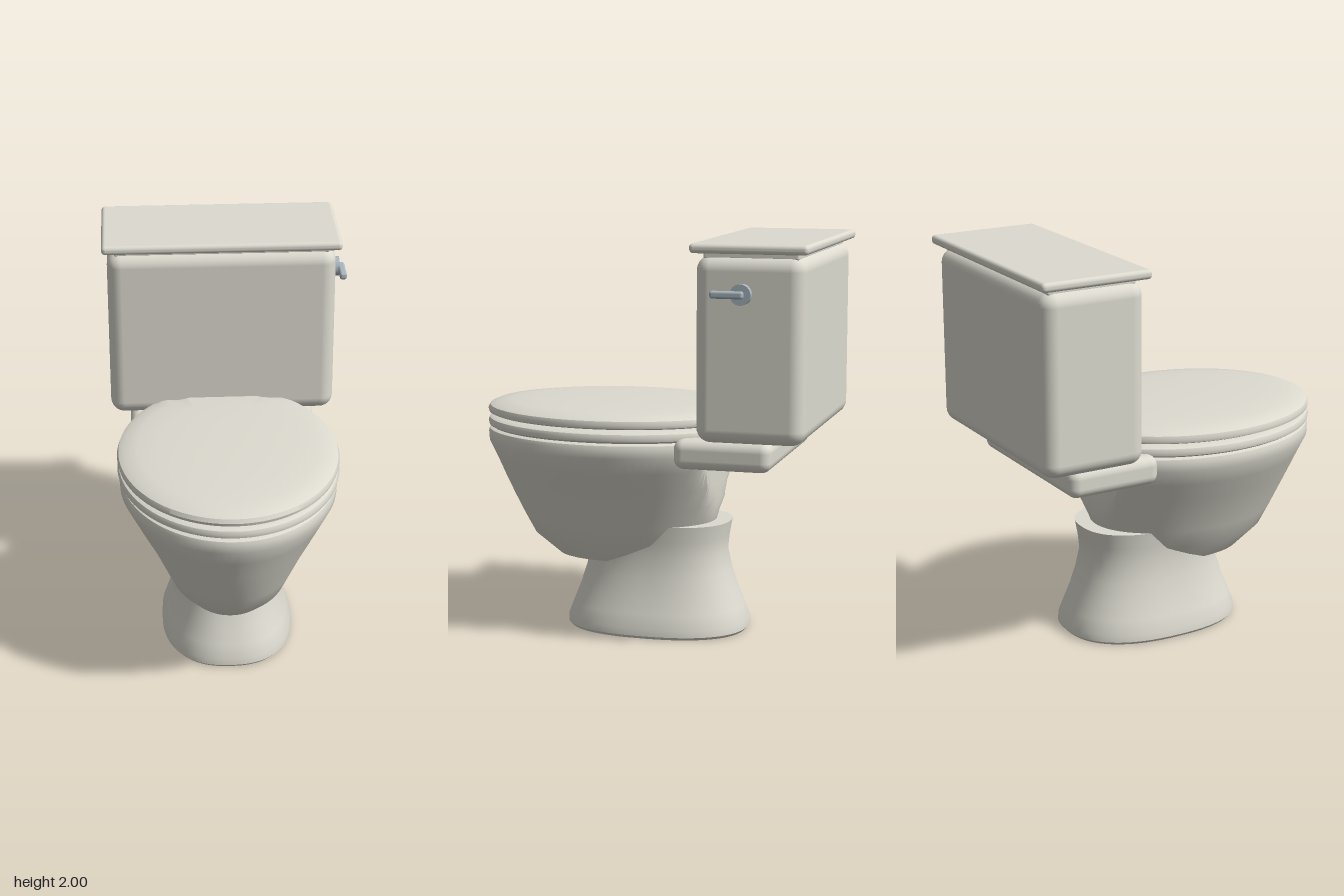
import * as THREE from 'three';
import { toCreasedNormals } from 'three/addons/utils/BufferGeometryUtils.js';
import { RoundedBoxGeometry } from 'three/addons/geometries/RoundedBoxGeometry.js';

const SEGMENTS = 96;
const BACK = -0.32; // flat rear of bowl, seat and lid

// Lofts oval rings [y, halfWidth, halfDepth], bottom to top, around z = cz.
// power > 2 squares the oval; points behind zMin are flattened onto that plane.
function loft(rings, { cz = 0, power = 2, zMin = -Infinity } = {}) {
  const positions = [], index = [];
  const bend = v => Math.sign(v) * Math.abs(v) ** (2 / power);
  for (const [y, a, b] of rings) {
    for (let j = 0; j < SEGMENTS; j++) {
      const t = (j / SEGMENTS) * Math.PI * 2;
      positions.push(a * bend(Math.sin(t)), y, Math.max(zMin, cz + b * bend(Math.cos(t))));
    }
  }
  for (let i = 0; i < rings.length - 1; i++) {
    for (let j = 0; j < SEGMENTS; j++) {
      const k = (j + 1) % SEGMENTS;
      const p = i * SEGMENTS + j, q = i * SEGMENTS + k;
      const r = q + SEGMENTS, s = p + SEGMENTS;
      if (rings[i][1] > 0) index.push(p, q, r);
      if (rings[i + 1][1] > 0) index.push(p, r, s);
    }
  }
  const geometry = new THREE.BufferGeometry();
  geometry.setAttribute('position', new THREE.Float32BufferAttribute(positions, 3));
  geometry.setIndex(index);
  return toCreasedNormals(geometry, 0.65);
}

export function createModel() {
  const group = new THREE.Group();
  const ceramic = new THREE.MeshStandardMaterial({ color: 0xdddbd0 });
  const metal = new THREE.MeshStandardMaterial({ color: 0xa9b7bf });

  const add = (name, geometry, material, x = 0, y = 0, z = 0) => {
    const mesh = new THREE.Mesh(geometry, material);
    mesh.name = name;
    mesh.position.set(x, y, z);
    group.add(mesh);
    return mesh;
  };
  const roundedBox = (name, w, h, d, radius, material, x, y, z) =>
    add(name, new RoundedBoxGeometry(w, h, d, 4, radius), material, x, y, z);

  // Flared foot
  add('pedestal', loft([
    [0, 0, 0], [0, 0.325, 0.455], [0.015, 0.338, 0.468], [0.05, 0.336, 0.466],
    [0.12, 0.312, 0.44], [0.2, 0.286, 0.408], [0.3, 0.264, 0.375], [0.4, 0.252, 0.352],
    [0.48, 0.258, 0.36], [0.56, 0.268, 0.375], [0.56, 0, 0],
  ], { cz: -0.009, power: 2.4 }), ceramic);

  // Bowl: outer wall, rim, then the hollow inside
  add('bowl', loft([
    [0.36, 0, 0], [0.36, 0.225, 0.32], [0.46, 0.3, 0.45], [0.56, 0.345, 0.505],
    [0.66, 0.39, 0.555], [0.76, 0.443, 0.6], [0.86, 0.495, 0.642], [0.945, 0.538, 0.682],
    [0.99, 0.541, 0.685], [1.008, 0.535, 0.68], [1.018, 0.515, 0.66],
    [1.018, 0.39, 0.47], [0.85, 0.34, 0.42], [0.65, 0.23, 0.3], [0.5, 0.1, 0.14], [0.47, 0, 0],
  ], { cz: 0.2, zMin: BACK }), ceramic);

  // Seat ring
  add('seat', loft([
    [1.02, 0.38, 0.46], [1.02, 0.53, 0.665], [1.03, 0.546, 0.681], [1.048, 0.55, 0.685],
    [1.065, 0.543, 0.678], [1.076, 0.52, 0.655], [1.076, 0.39, 0.47], [1.048, 0.37, 0.45],
    [1.02, 0.38, 0.46],
  ], { cz: 0.2, zMin: BACK }), ceramic);

  // Domed lid of the seat
  add('seatLid', loft([
    [1.088, 0, 0], [1.088, 0.53, 0.665], [1.095, 0.546, 0.681], [1.11, 0.55, 0.685],
    [1.13, 0.543, 0.676], [1.144, 0.515, 0.645], [1.155, 0.45, 0.565], [1.163, 0.35, 0.44],
    [1.168, 0.2, 0.25], [1.17, 0, 0],
  ], { cz: 0.2, zMin: BACK }), ceramic);

  // Hinge barrels
  for (const side of [-1, 1]) {
    const hinge = add('hinge', new THREE.CylinderGeometry(0.025, 0.025, 0.14, 20), metal,
      side * 0.2, 1.082, -0.31);
    hinge.rotation.z = Math.PI / 2;
  }

  // Shelf, tank and tank lid
  roundedBox('tankShelf', 0.955, 0.147, 0.485, 0.05, ceramic, 0, 0.971, -0.448);
  roundedBox('tank', 1.155, 0.89, 0.53, 0.07, ceramic, 0, 1.496, -0.605);
  roundedBox('tankLip', 1.08, 0.04, 0.46, 0.01, ceramic, 0, 1.945, -0.605);
  roundedBox('tankLid', 1.205, 0.046, 0.57, 0.02, ceramic, 0, 1.977, -0.605);

  // Flush handle on the left side
  const plate = add('handlePlate', new THREE.CylinderGeometry(0.05, 0.05, 0.045, 28), metal,
    0.59, 1.767, -0.572);
  plate.rotation.z = Math.PI / 2;
  roundedBox('handleLever', 0.036, 0.036, 0.16, 0.012, metal, 0.623, 1.767, -0.51);

  for (const mesh of group.children) mesh.position.x -= 0.021;
  return group;
}
